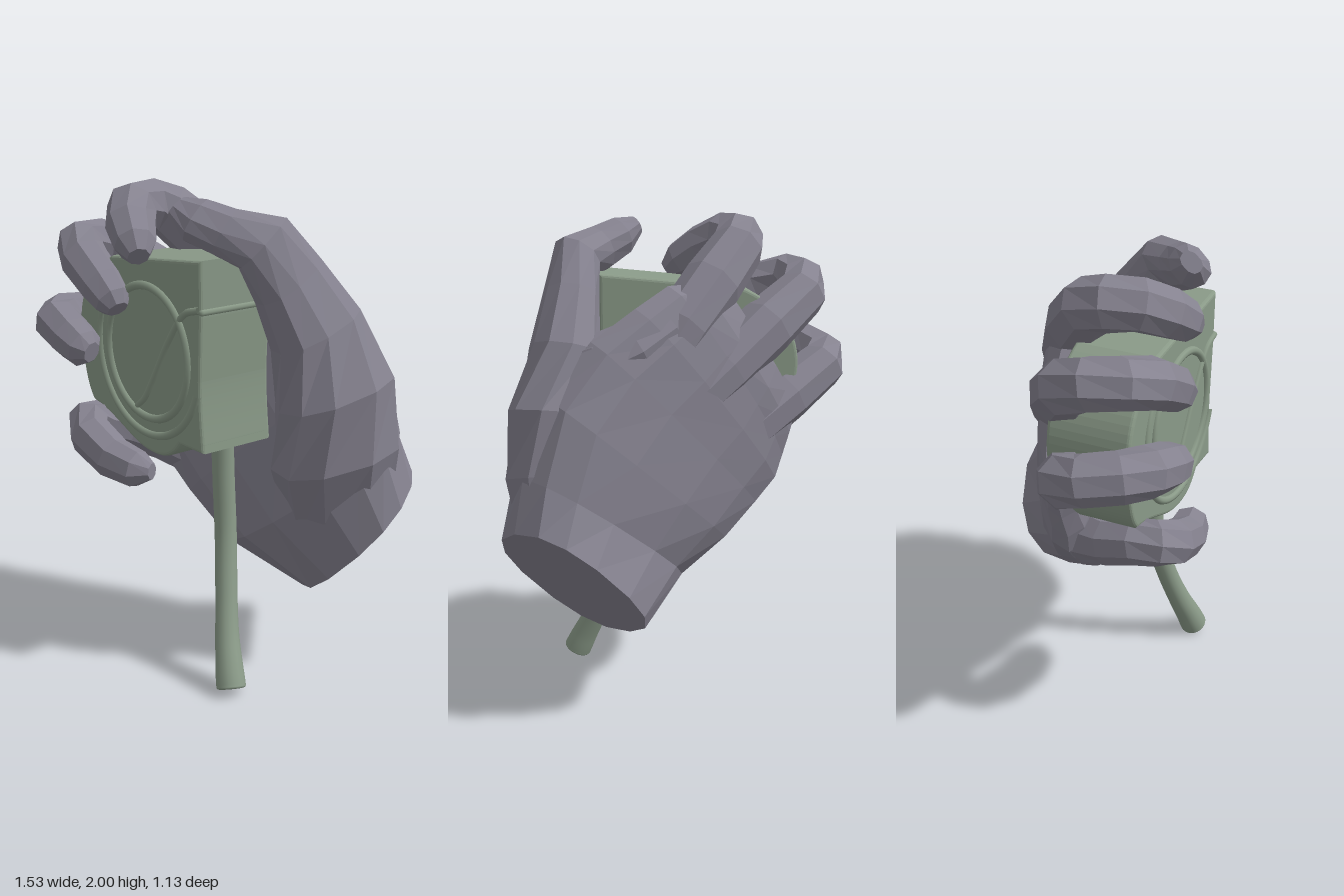
import * as THREE from 'three';

const V = (p) => new THREE.Vector3(p[0], p[1], p[2]);

// Join equal-sized loops of points into a skin, with optional end caps
function skin(rings, caps = true) {
  const n = rings[0].length, pos = [], idx = [];
  rings.flat().forEach((p) => pos.push(p.x, p.y, p.z));
  for (let i = 0; i < rings.length - 1; i++) {
    for (let j = 0; j < n; j++) {
      const a = i * n + j, b = i * n + (j + 1) % n;
      idx.push(a, b, b + n, a, b + n, a + n);
    }
  }
  if (caps) {
    const last = (rings.length - 1) * n;
    for (let j = 1; j < n - 1; j++) idx.push(0, j + 1, j, last, last + j, last + j + 1);
  }
  const g = new THREE.BufferGeometry();
  g.setAttribute('position', new THREE.Float32BufferAttribute(pos, 3));
  g.setIndex(idx);
  g.computeVertexNormals();
  return g;
}

const direction = (pts, i) => pts[Math.min(i + 1, pts.length - 1)].clone().sub(pts[Math.max(i - 1, 0)]).normalize();

// Round limb along points [x, y, z, radius]
function limb(path, sides, caps = true) {
  const pts = path.map(V);
  let u = new THREE.Vector3(0.31, 0.52, 0.8);
  return skin(pts.map((p, i) => {
    const t = direction(pts, i);
    u = u.clone().addScaledVector(t, -u.dot(t)).normalize();
    const v = t.clone().cross(u);
    return Array.from({ length: sides }, (_, j) => {
      const a = j / sides * Math.PI * 2;
      return p.clone().addScaledVector(u, Math.cos(a) * path[i][3]).addScaledVector(v, Math.sin(a) * path[i][3]);
    });
  }), caps);
}

// Flattened body; each section is [edge, opposite edge, half thickness]
function slab(sections, sides) {
  const mid = sections.map(([a, b]) => V(a).add(V(b)).multiplyScalar(0.5));
  const soft = (c) => Math.sign(c) * Math.abs(c) ** 0.85;
  return skin(sections.map(([a, b, h], i) => {
    const u = V(b).sub(V(a)).multiplyScalar(0.5);
    const v = direction(mid, i).cross(u).normalize().multiplyScalar(h);
    return Array.from({ length: sides }, (_, j) => {
      const k = j / sides * Math.PI * 2;
      return mid[i].clone().addScaledVector(u, soft(Math.cos(k))).addScaledVector(v, soft(Math.sin(k)));
    });
  }));
}

export function createModel() {
  const model = new THREE.Group();
  const handMat = new THREE.MeshStandardMaterial({ color: 0x85828f, flatShading: true });
  const caseMat = new THREE.MeshStandardMaterial({ color: 0x8a9a88 });
  const cordMat = new THREE.MeshStandardMaterial({ color: 0x8a9a88, side: THREE.DoubleSide });
  const hand = new THREE.Group();
  hand.name = 'hand';
  const device = new THREE.Group();
  device.name = 'device';
  model.add(hand, device);
  const add = (parent, name, geo, mat) => {
    const m = new THREE.Mesh(geo, mat);
    m.name = name;
    parent.add(m);
    return m;
  };

  // Palm from the cut wrist past the knuckles to the finger webs
  add(hand, 'palm', slab([
    [[0.26, 0.32, -0.26], [0.72, 0.81, -0.41], 0.265],
    [[0.06, 0.49, -0.02], [0.68, 1.02, -0.36], 0.24],
    [[-0.16, 0.64, 0.02], [0.58, 1.32, -0.3], 0.22],
    [[-0.31, 0.77, 0.06], [0.4, 1.53, -0.25], 0.175],
    [[-0.4, 0.86, 0.08], [0.22, 1.65, -0.2], 0.145],
    [[-0.43, 0.95, 0.09], [0.08, 1.73, -0.13], 0.13],
    [[-0.46, 1.05, 0.08], [-0.03, 1.73, -0.07], 0.115],
    [[-0.5, 1.16, 0.08], [-0.14, 1.73, 0.0], 0.07],
  ], 14), handMat);

  // Thumb: broad fleshy base rising from the wrist, bent over at the tip
  add(hand, 'thumb', slab([
    [[0.36, 0.6, -0.06], [0.64, 0.76, -0.4], 0.15],
    [[0.4, 0.9, 0.07], [0.66, 1.03, -0.39], 0.195],
    [[0.48, 1.16, 0.1], [0.6, 1.29, -0.37], 0.18],
    [[0.52, 1.41, 0.13], [0.47, 1.53, -0.27], 0.14],
    [[0.49, 1.6, 0.19], [0.43, 1.74, -0.1], 0.112],
    [[0.43, 1.74, 0.25], [0.42, 1.9, 0.04], 0.105],
    [[0.32, 1.78, 0.3], [0.32, 1.93, 0.17], 0.085],
    [[0.23, 1.83, 0.37], [0.23, 1.96, 0.24], 0.075],
    [[0.15, 1.91, 0.38], [0.16, 1.97, 0.3], 0.035],
  ], 10), handMat);

  // Skin between thumb and index finger
  add(hand, 'thumbWeb', limb([[0.47, 1.36, -0.13, 0.15], [0.34, 1.42, -0.18, 0.14],
    [0.21, 1.48, -0.18, 0.13], [0.08, 1.56, -0.14, 0.11]], 8), handMat);

  // Fingers, knuckle to tip
  const fingers = {
    indexFinger: [[0.12, 1.42, -0.16, 0.11], [0.02, 1.57, -0.12, 0.12], [-0.12, 1.73, -0.02, 0.125],
      [-0.24, 1.86, 0.09, 0.113], [-0.26, 1.89, 0.18, 0.11], [-0.22, 1.89, 0.29, 0.105],
      [-0.13, 1.84, 0.36, 0.1], [-0.04, 1.78, 0.4, 0.085], [0.01, 1.74, 0.42, 0.045]],
    middleFinger: [[0.0, 1.25, -0.14, 0.11], [-0.16, 1.38, -0.07, 0.12], [-0.36, 1.54, 0.03, 0.125],
      [-0.53, 1.66, 0.14, 0.11], [-0.55, 1.7, 0.24, 0.105], [-0.51, 1.71, 0.36, 0.1],
      [-0.38, 1.67, 0.42, 0.1], [-0.23, 1.59, 0.43, 0.093], [-0.16, 1.54, 0.43, 0.078], [-0.13, 1.51, 0.43, 0.045]],
    ringFinger: [[-0.08, 1.0, -0.06, 0.11], [-0.24, 1.09, 0.0, 0.12], [-0.46, 1.23, 0.1, 0.12],
      [-0.64, 1.34, 0.19, 0.105], [-0.66, 1.37, 0.27, 0.1], [-0.61, 1.39, 0.4, 0.1],
      [-0.53, 1.39, 0.47, 0.1], [-0.4, 1.35, 0.48, 0.095], [-0.31, 1.32, 0.48, 0.083], [-0.27, 1.31, 0.47, 0.045]],
    littleFinger: [[-0.16, 0.83, 0.0, 0.13], [-0.28, 0.89, 0.11, 0.12], [-0.35, 0.93, 0.24, 0.1],
      [-0.37, 0.97, 0.36, 0.093], [-0.36, 0.98, 0.44, 0.093], [-0.28, 0.95, 0.48, 0.093],
      [-0.13, 0.89, 0.47, 0.088], [0.0, 0.87, 0.44, 0.078], [0.06, 0.87, 0.41, 0.035]],
  };
  for (const [name, path] of Object.entries(fingers)) add(hand, name, limb(path, 8), handMat);

  // Case: rounded on one side, squared on the other
  const outline = new THREE.Shape();
  outline.moveTo(0.33, 1.75);
  outline.lineTo(-0.24, 1.69);
  outline.bezierCurveTo(-0.42, 1.62, -0.5, 1.48, -0.48, 1.33);
  outline.bezierCurveTo(-0.47, 1.22, -0.45, 1.12, -0.4, 1.07);
  outline.bezierCurveTo(-0.25, 1.05, -0.12, 0.96, -0.02, 0.95);
  outline.bezierCurveTo(0.08, 0.94, 0.14, 0.95, 0.2, 1.03);
  outline.lineTo(0.34, 1.03);
  outline.quadraticCurveTo(0.32, 1.2, 0.32, 1.3);
  outline.lineTo(0.33, 1.55);
  const body = add(device, 'case', new THREE.ExtrudeGeometry(outline, {
    depth: 0.315, bevelEnabled: true, bevelThickness: 0.015, bevelSize: 0.015, bevelSegments: 3, curveSegments: 14,
  }), caseMat);
  body.position.z = 0.05;

  // Dial rim, broken outer ridge and side ridges
  const dial = add(device, 'dialRim', new THREE.TorusGeometry(0.27, 0.018, 8, 64), caseMat);
  dial.position.set(0, 1.35, 0.378);
  const ridge = add(device, 'outerRidge', new THREE.TorusGeometry(0.34, 0.018, 8, 48, Math.PI * 1.15), caseMat);
  ridge.position.set(0, 1.35, 0.376);
  ridge.rotation.z = Math.PI * 0.75;
  for (const y of [1.05, 1.57]) {
    const bar = add(device, 'sideRidge', new THREE.CapsuleGeometry(0.015, 0.3, 4, 8), caseMat);
    bar.rotation.x = Math.PI / 2;
    bar.position.set(0.338, y, 0.215);
  }

  // Raised diagonal seam across the dial
  const seam = new THREE.CatmullRomCurve3([[0.34, 1.58, 0.38], [0.25, 1.55, 0.38], [0.15, 1.43, 0.38],
    [0.04, 1.25, 0.38], [-0.02, 1.16, 0.38], [-0.08, 1.11, 0.376]].map(V));
  add(device, 'diagonalSeam', new THREE.TubeGeometry(seam, 40, 0.014, 8), caseMat);

  // Hanging cord, widening gently to an open end
  const cord = new THREE.CatmullRomCurve3([[0.22, 1.08, 0.175], [0.225, 0.85, 0.172], [0.25, 0.6, 0.18],
    [0.305, 0.38, 0.22], [0.365, 0.21, 0.263], [0.415, 0.1, 0.292], [0.447, 0.028, 0.308]].map(V));
  const cordPath = cord.getPoints(40).map((p, i) => [p.x, p.y, p.z,
    0.046 + 0.015 * THREE.MathUtils.smoothstep(i / 40, 0.5, 1)]);
  add(device, 'cord', limb(cordPath, 16, false), cordMat);
  const rim = add(device, 'cordRim', new THREE.TorusGeometry(0.052, 0.009, 8, 24), caseMat);
  rim.quaternion.setFromUnitVectors(new THREE.Vector3(0, 0, 1), cord.getTangent(1));
  rim.position.copy(cord.getPoint(1));

  return model;
}
